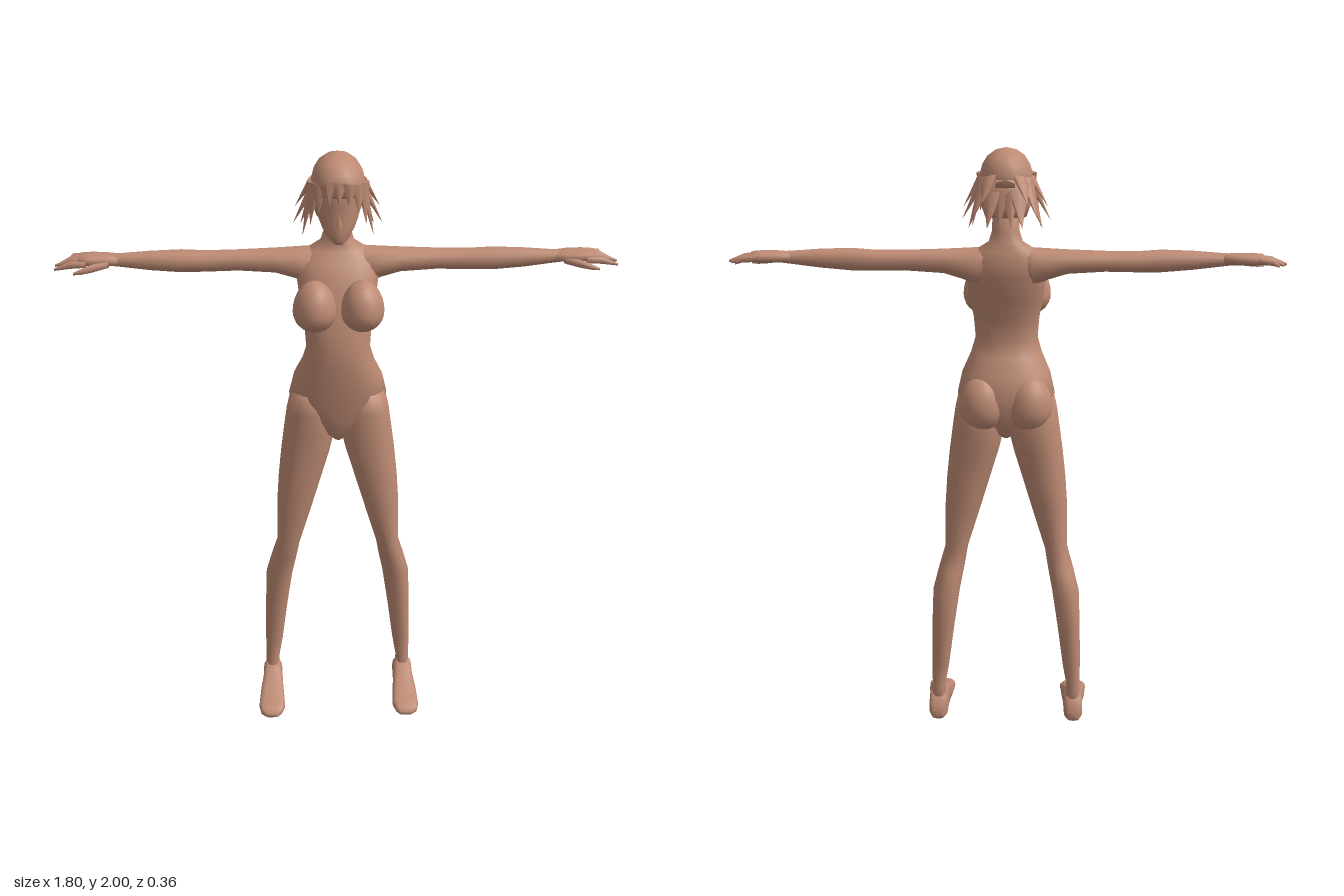
import * as THREE from 'three';

const skin = new THREE.MeshStandardMaterial({ color: 0xbd8a73 });
skin.name = 'clay skin';

// Order of the three section directions (a, b, along) for each loft axis
const AXES = { y: ['x', 'z', 'y'], x: ['z', 'y', 'x'], z: ['x', 'y', 'z'] };

// Rounded cross-sections [t, aMin, aMax, bMin, bMax] joined along an axis, with closed ends
function loft(axis, sections, n = 18, power = 0.88) {
  const [A, B, T] = AXES[axis];
  const pos = [], index = [], v = new THREE.Vector3();
  const add = (a, b, t) => { v[A] = a; v[B] = b; v[T] = t; pos.push(v.x, v.y, v.z); };
  const round = (c) => Math.sign(c) * Math.abs(c) ** power;
  for (const [t, a0, a1, b0, b1] of sections) {
    for (let i = 0; i < n; i++) {
      const k = (i / n) * Math.PI * 2;
      add((a0 + a1) / 2 + (a1 - a0) / 2 * round(Math.cos(k)),
        (b0 + b1) / 2 + (b1 - b0) / 2 * round(Math.sin(k)), t);
    }
  }
  const last = sections.length - 1;
  for (const s of [sections[0], sections[last]]) add((s[1] + s[2]) / 2, (s[3] + s[4]) / 2, s[0]);
  const rising = sections[last][0] > sections[0][0];
  const flip = (axis === 'z') !== rising;
  const tri = (a, b, c) => (flip ? index.push(a, c, b) : index.push(a, b, c));
  for (let i = 0; i < n; i++) {
    const j = (i + 1) % n;
    for (let r = 0; r < last; r++) {
      const p = r * n + i, q = r * n + j;
      tri(p, q, q + n);
      tri(p, q + n, p + n);
    }
    tri((last + 1) * n, j, i);
    tri((last + 1) * n + 1, last * n + i, last * n + j);
  }
  const g = new THREE.BufferGeometry();
  g.setAttribute('position', new THREE.Float32BufferAttribute(pos, 3));
  g.setIndex(index);
  g.computeVertexNormals();
  return g;
}

// Symmetric loft along y from [y, halfWidth, back, front]
const column = (rows, n) => loft('y', rows.map(([y, w, b, f]) => [y, -w, w, b, f]), n);

// Copy of a geometry on the other side of x = 0
function mirrored(geometry) {
  const g = geometry.clone().scale(-1, 1, 1);
  const ix = g.index.array;
  for (let i = 0; i < ix.length; i += 3) [ix[i], ix[i + 1]] = [ix[i + 1], ix[i]];
  g.computeVertexNormals();
  return g;
}

// Ellipsoid whose upper half can be stretched
function mound(center, radii, stretchUp = 1) {
  const g = new THREE.SphereGeometry(1, 20, 14);
  const p = g.attributes.position;
  for (let i = 0; i < p.count; i++) if (p.getY(i) > 0) p.setY(i, p.getY(i) * stretchUp);
  g.scale(...radii).translate(...center);
  g.computeVertexNormals();
  return g;
}

// Flat pointed lock of hair from root to tip
function lock(root, tip, width) {
  const a = new THREE.Vector3(...root), b = new THREE.Vector3(...tip);
  const dir = b.clone().sub(a), length = dir.length();
  dir.normalize();
  const out = new THREE.Vector3(a.x, 0, a.z).normalize();
  const side = new THREE.Vector3().crossVectors(dir, out).normalize();
  out.crossVectors(side, dir);
  const g = new THREE.ConeGeometry(1, length, 6).scale(width, 1, width * 0.4);
  return g.applyMatrix4(new THREE.Matrix4().makeBasis(side, dir, out).setPosition(a.add(b).multiplyScalar(0.5)));
}

export function createModel() {
  const model = new THREE.Group();
  model.name = 'figure';
  const add = (name, geometry) => {
    const mesh = new THREE.Mesh(geometry, skin);
    mesh.name = name;
    model.add(mesh);
  };
  const pair = (name, geometry) => {
    add(name + 'Left', geometry);
    add(name + 'Right', mirrored(geometry));
  };

  // Torso and neck
  add('torso', column([
    [1.045, 0.015, -0.03, 0.05], [1.07, 0.05, -0.08, 0.08], [1.13, 0.125, -0.105, 0.098],
    [1.2, 0.163, -0.117, 0.108], [1.27, 0.147, -0.1, 0.12], [1.33, 0.119, -0.066, 0.126],
    [1.38, 0.104, -0.047, 0.128], [1.45, 0.109, -0.06, 0.12], [1.52, 0.122, -0.08, 0.098],
    [1.6, 0.132, -0.107, 0.075], [1.65, 0.125, -0.108, 0.042], [1.685, 0.095, -0.1, 0.015],
    [1.71, 0.055, -0.092, 0.005], [1.745, 0.044, -0.085, 0.008], [1.82, 0.043, -0.07, 0.02],
  ], 24));
  pair('chest', mound([0.076, 1.515, 0.085], [0.07, 0.066, 0.08], 1.5));
  pair('buttock', mound([0.078, 1.165, -0.06], [0.078, 0.085, 0.077], 1.25));

  // Legs, hip to ankle
  pair('leg', loft('y', [
    [0.04, 0.212, 0.268, -0.07, 0.01], [0.12, 0.217, 0.264, -0.062, 0.0],
    [0.2, 0.203, 0.264, -0.07, 0.004], [0.35, 0.183, 0.261, -0.088, 0.02],
    [0.49, 0.162, 0.255, -0.1, 0.04], [0.57, 0.146, 0.234, -0.078, 0.055],
    [0.64, 0.134, 0.213, -0.06, 0.073], [0.8, 0.085, 0.21, -0.08, 0.086],
    [0.9, 0.055, 0.203, -0.088, 0.09], [1.0, 0.025, 0.192, -0.098, 0.092],
    [1.08, 0.006, 0.181, -0.112, 0.094], [1.15, 0.01, 0.171, -0.108, 0.098],
    [1.22, 0.03, 0.155, -0.08, 0.09],
  ]));

  // Flat-soled feet
  pair('foot', loft('z', [
    [-0.08, 0.22, 0.265, 0, 0.035], [-0.066, 0.208, 0.275, 0, 0.08], [-0.02, 0.206, 0.275, 0, 0.115],
    [0.02, 0.205, 0.277, 0, 0.09], [0.08, 0.2, 0.286, 0, 0.06], [0.14, 0.196, 0.29, 0, 0.038],
    [0.17, 0.206, 0.283, 0, 0.028], [0.182, 0.22, 0.265, 0, 0.015],
  ], 16, 0.6));

  // Arms, shoulder to wrist
  pair('arm', loft('x', [
    [0.04, -0.09, 0.0, 1.6, 1.7], [0.09, -0.102, 0.02, 1.57, 1.69], [0.14, -0.101, 0.02, 1.59, 1.687],
    [0.2, -0.095, 0.014, 1.608, 1.684], [0.32, -0.083, 0.004, 1.615, 1.68],
    [0.42, -0.078, 0.004, 1.613, 1.679], [0.5, -0.076, 0.01, 1.613, 1.684],
    [0.6, -0.067, 0.004, 1.621, 1.681], [0.7, -0.058, -0.006, 1.633, 1.674],
    [0.74, -0.06, -0.005, 1.638, 1.672],
  ], 14));

  // Hands: palm, grouped fingers, forefinger and thumb
  pair('palm', loft('x', [
    [0.69, -0.056, -0.008, 1.636, 1.672], [0.74, -0.075, 0.004, 1.637, 1.675],
    [0.79, -0.082, 0.01, 1.638, 1.675], [0.825, -0.082, 0.006, 1.642, 1.672],
  ], 12));
  for (let i = 0; i < 4; i++) {
    const z = -0.07 + i * 0.023, end = [0.872, 0.89, 0.902, 0.902][i], y = i === 3 ? 1.65 : 1.656;
    pair('finger' + (i + 1), loft('x', [
      [0.8, z - 0.013, z + 0.013, y - 0.012, y + 0.013],
      [0.85, z - 0.012, z + 0.012, y - 0.015, y + 0.009],
      [end, z - 0.004, z + 0.005, y - 0.021, y - 0.013],
    ], 8));
  }
  pair('thumb', loft('x', [
    [0.73, -0.02, 0.004, 1.635, 1.66], [0.78, -0.004, 0.026, 1.626, 1.652],
    [0.815, 0.01, 0.032, 1.622, 1.64], [0.838, 0.02, 0.03, 1.622, 1.63],
  ], 8));

  // Head and nose
  add('head', column([
    [1.735, 0.014, 0.06, 0.1], [1.75, 0.03, 0.025, 0.111], [1.78, 0.052, -0.035, 0.11],
    [1.81, 0.065, -0.07, 0.108], [1.85, 0.073, -0.09, 0.105], [1.9, 0.075, -0.095, 0.11],
    [1.95, 0.065, -0.08, 0.095],
  ], 20));
  add('nose', new THREE.ConeGeometry(0.013, 0.05, 4).rotateX(0.25).translate(0, 1.812, 0.11));

  // Hair cap and the layer over ears and nape
  add('hairCap', column([
    [1.885, 0.086, -0.108, 0.122], [1.92, 0.084, -0.108, 0.121], [1.95, 0.076, -0.1, 0.108],
    [1.975, 0.06, -0.082, 0.085], [1.993, 0.035, -0.05, 0.05], [2.0, 0.008, -0.01, 0.012],
  ], 20));
  add('hairLayer', column([
    [1.79, 0.066, -0.092, 0.0], [1.83, 0.081, -0.105, 0.03], [1.91, 0.086, -0.108, 0.06],
  ], 16));

  // Fringe and pointed locks, each [root, tip, width]
  add('fringeCenter', lock([0, 1.93, 0.112], [0, 1.868, 0.132], 0.028));
  const locks = [
    [[0.035, 1.925, 0.108], [0.03, 1.862, 0.125], 0.03],
    [[0.06, 1.92, 0.085], [0.062, 1.835, 0.105], 0.03],
    [[0.076, 1.92, 0.055], [0.087, 1.79, 0.07], 0.032],
    [[0.08, 1.9, 0.025], [0.112, 1.745, 0.03], 0.032],
    [[0.08, 1.89, 0.0], [0.142, 1.775, -0.005], 0.032],
    [[0.08, 1.91, -0.02], [0.135, 1.82, -0.045], 0.03],
    [[0.075, 1.87, -0.04], [0.118, 1.755, -0.075], 0.032],
    [[0.065, 1.91, -0.07], [0.1, 1.8, -0.135], 0.034],
    [[0.05, 1.91, -0.085], [0.07, 1.845, -0.176], 0.034],
    [[0.04, 1.87, -0.085], [0.055, 1.765, -0.152], 0.036],
    [[0.015, 1.88, -0.09], [0.02, 1.76, -0.125], 0.036],
  ];
  locks.forEach(([root, tip, width], i) => pair('hairLock' + (i + 1), lock(root, tip, width)));

  return model;
}
